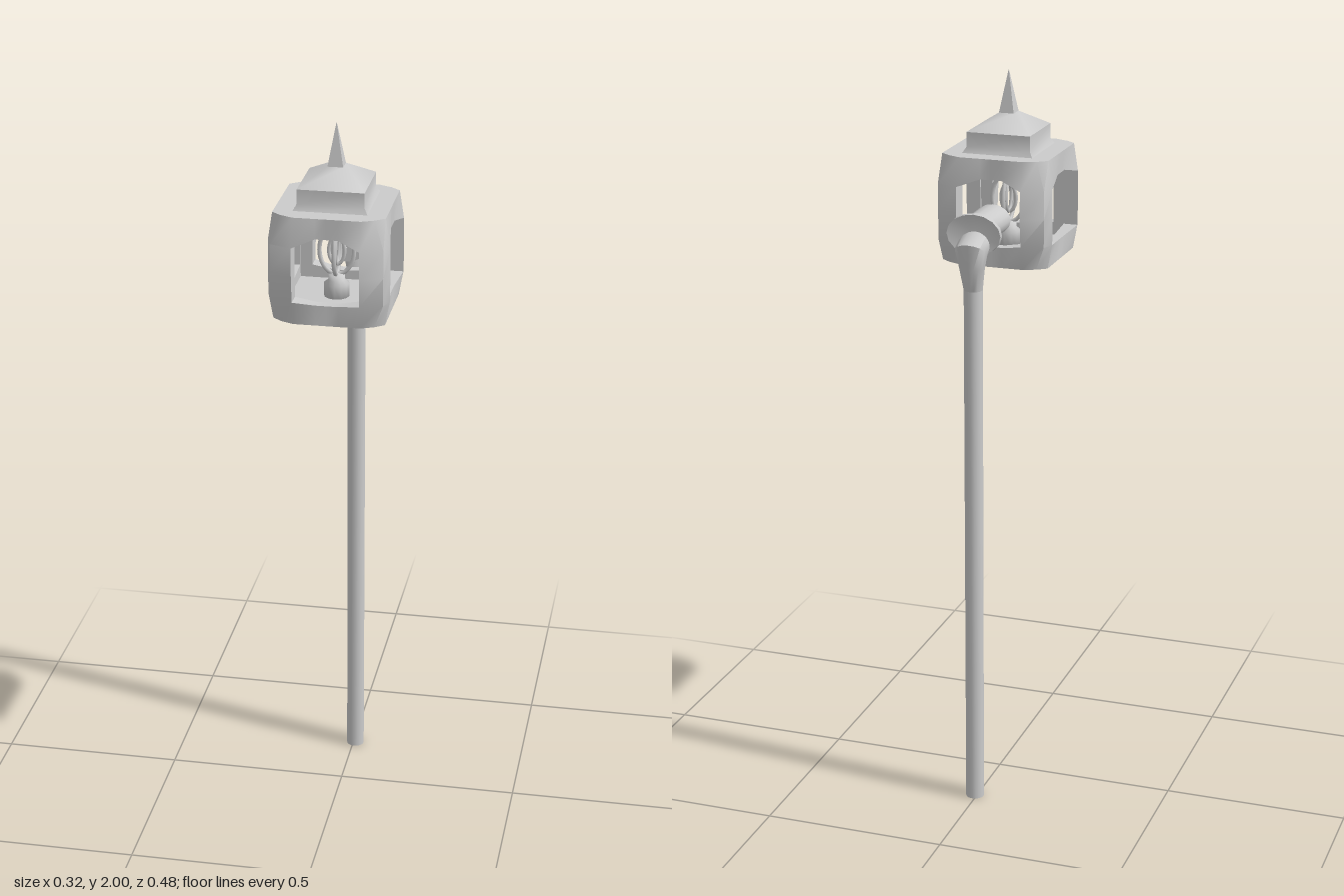
import * as THREE from 'three';
import { toCreasedNormals } from 'three/addons/utils/BufferGeometryUtils.js';

const HEAD_Z = 0.072; // centre of the lantern head
const ARM_X = 0.006; // centre of pole and arm

const grey = new THREE.MeshStandardMaterial({ color: 0xcccccc, side: THREE.DoubleSide });

function mesh(name, geometry, x = 0, y = 0, z = 0) {
  const m = new THREE.Mesh(geometry, grey);
  m.name = name;
  m.position.set(x, y, z);
  return m;
}

// Collects quads and turns them into a geometry with kept creases
function fromQuads(quads, crease) {
  const pos = [];
  for (const [a, b, c, d] of quads) for (const p of [a, b, c, a, c, d]) pos.push(...p);
  const g = new THREE.BufferGeometry();
  g.setAttribute('position', new THREE.Float32BufferAttribute(pos, 3));
  return toCreasedNormals(g, crease);
}

function strip(quads, low, high, skip = () => false) {
  const n = low.length;
  for (let i = 0; i < n; i++) {
    const k = (i + 1) % n;
    if (!skip(i)) quads.push([low[i], low[k], high[k], high[i]]);
  }
}

// One ring of the lantern shell: a quarter outline mirrored into four
function shellRing(y, quarter, midShift = 0, scale = 1) {
  const ring = [];
  for (let i = 0; i < 24; i++) {
    const k = i % 12 <= 6 ? i % 12 : 12 - (i % 12);
    const sx = i < 12 ? 1 : -1;
    const sz = i <= 6 || i >= 18 ? 1 : -1;
    const nearMiddle = k < 2 || k > 4;
    ring.push([sx * quarter[k][0] * scale, y + (nearMiddle ? midShift : 0), sz * quarter[k][1] * scale]);
  }
  return ring;
}

// Outer quarter outline; the corner posts bulge by bx sideways and bz to front and back
const outer = (bx, bz, corner) => [
  [0, 0.147], [0.03, 0.147], [0.088, 0.147 + bz], corner,
  [0.147 + bx, 0.112], [0.147, 0.03], [0.147, 0],
];
const inner = [[0, 0.12], [0.03, 0.12], [0.088, 0.12], [0.12, 0.12], [0.12, 0.112], [0.12, 0.03], [0.12, 0]];

function lanternShell() {
  const cut = [0.122, 0.132], full = [0.147, 0.147];
  const base = outer(0, 0, cut);
  // Outside from the bottom hole upward, then inside downward, back to the hole
  const rings = [
    shellRing(1.5, base, 0, 0.18),
    shellRing(1.5, base),
    shellRing(1.565, outer(0.012, 0.016, full), -0.01),
    shellRing(1.64, outer(0.013, 0.024, full)),
    shellRing(1.715, outer(0.012, 0.022, full), 0.02),
    shellRing(1.79, base),
    shellRing(1.79, base, 0, 0.001),
    shellRing(1.765, inner, 0, 0.001),
    shellRing(1.765, inner),
    shellRing(1.715, inner, 0.02),
    shellRing(1.64, inner),
    shellRing(1.565, inner, -0.01),
    shellRing(1.53, inner),
    shellRing(1.53, base, 0, 0.18),
    shellRing(1.5, base, 0, 0.18),
  ];
  const open = (i) => i % 6 < 2 || i % 6 > 3;
  const windowStrips = [2, 3, 9, 10];
  const quads = [];
  for (let j = 0; j < rings.length - 1; j++) {
    strip(quads, rings[j], rings[j + 1], windowStrips.includes(j) ? open : undefined);
  }
  // Window sills and lintels
  strip(quads, rings[2], rings[11], (i) => !open(i));
  strip(quads, rings[9], rings[4], (i) => !open(i));
  // Window jambs
  for (let i = 0; i < 24; i++) {
    if (open(i) === open((i + 23) % 24)) continue;
    for (const j of [2, 3]) {
      const q = [rings[j][i], rings[13 - j][i], rings[12 - j][i], rings[j + 1][i]];
      quads.push(open(i) ? q : q.reverse());
    }
  }
  return fromQuads(quads, 0.85);
}

// Square, pyramid-like tier from [half width, height] pairs
function squareTier(profile) {
  const quads = [];
  const rings = profile.map(([h, y]) => [[-h, y, h], [h, y, h], [h, y, -h], [-h, y, -h]]);
  for (let j = 0; j < rings.length - 1; j++) strip(quads, rings[j], rings[j + 1]);
  return fromQuads(quads, 0.8);
}

// Skin over elliptical sections [y, z, tilt, rx, rn]
function loft(sections, sides) {
  const rings = sections.map(([y, z, t, rx, rn]) =>
    Array.from({ length: sides }, (_, i) => {
      const a = (i / sides) * Math.PI * 2;
      const n = rn * Math.cos(a);
      return [rx * Math.sin(a), y - n * Math.sin(t), z + n * Math.cos(t)];
    }));
  const quads = [];
  for (let j = 0; j < rings.length - 1; j++) strip(quads, rings[j], rings[j + 1]);
  return fromQuads(quads, 1.1);
}

// Closed oval wire
function ovalWire(rx, ry, thickness) {
  const points = Array.from({ length: 16 }, (_, i) => {
    const a = (i / 16) * Math.PI * 2;
    return new THREE.Vector3(Math.cos(a) * rx, Math.sin(a) * ry, 0);
  });
  return new THREE.TubeGeometry(new THREE.CatmullRomCurve3(points, true), 32, thickness, 6, true);
}

export function createModel() {
  const model = new THREE.Group();
  model.name = 'streetLantern';

  // Lantern head with roof and spike
  const head = new THREE.Group();
  head.name = 'lanternHead';
  head.position.z = HEAD_Z;
  head.add(mesh('lanternShell', lanternShell()));
  head.add(mesh('roof', squareTier([[0.1, 1.785], [0.088, 1.805], [0.088, 1.845], [0.02, 1.888]])));
  head.add(mesh('spike', squareTier([[0.021, 1.885], [0.0005, 2]])));

  // Lamp: stand with crossed oval wires, a large pair around a small pair
  const lamp = new THREE.Group();
  lamp.name = 'lamp';
  const stand = [[0, 1.52], [0.034, 1.52], [0.034, 1.565], [0.022, 1.575], [0.022, 1.59], [0, 1.595]];
  lamp.add(mesh('lampStand', new THREE.LatheGeometry(stand.map((p) => new THREE.Vector2(...p)), 12)));
  for (const turn of [0, Math.PI / 2]) {
    const cage = mesh('lampCage', ovalWire(0.046, 0.066, 0.006), 0, 1.655, 0);
    const filament = mesh('filament', ovalWire(0.021, 0.038, 0.005), 0, 1.655, 0);
    cage.rotation.y = filament.rotation.y = turn;
    lamp.add(cage, filament);
  }
  head.add(lamp);
  model.add(head);

  // Arm: horizontal tube flaring toward the back, closed inside the flare
  const h = -Math.PI / 2;
  model.add(mesh('arm', loft([
    [1.622, -0.04, h, 0.001, 0.001], [1.622, -0.04, h, 0.05, 0.04],
    [1.622, -0.14, h, 0.046, 0.04], [1.617, -0.183, h, 0.075, 0.055],
    [1.617, -0.195, h, 0.074, 0.054], [1.617, -0.18, h, 0.001, 0.001],
  ], 16), ARM_X));

  // Elbow from the pole up into the flare
  model.add(mesh('elbow', loft([
    [1.47, -0.197, 0, 0.025, 0.025], [1.53, -0.206, 0.1, 0.034, 0.029],
    [1.575, -0.214, 0.75, 0.044, 0.037], [1.598, -0.17, Math.PI / 2, 0.044, 0.03],
  ], 16), ARM_X));

  // Pole
  model.add(mesh('pole', new THREE.CylinderGeometry(0.025, 0.025, 1.48, 16), ARM_X, 0.74, -0.197));
  return model;
}
